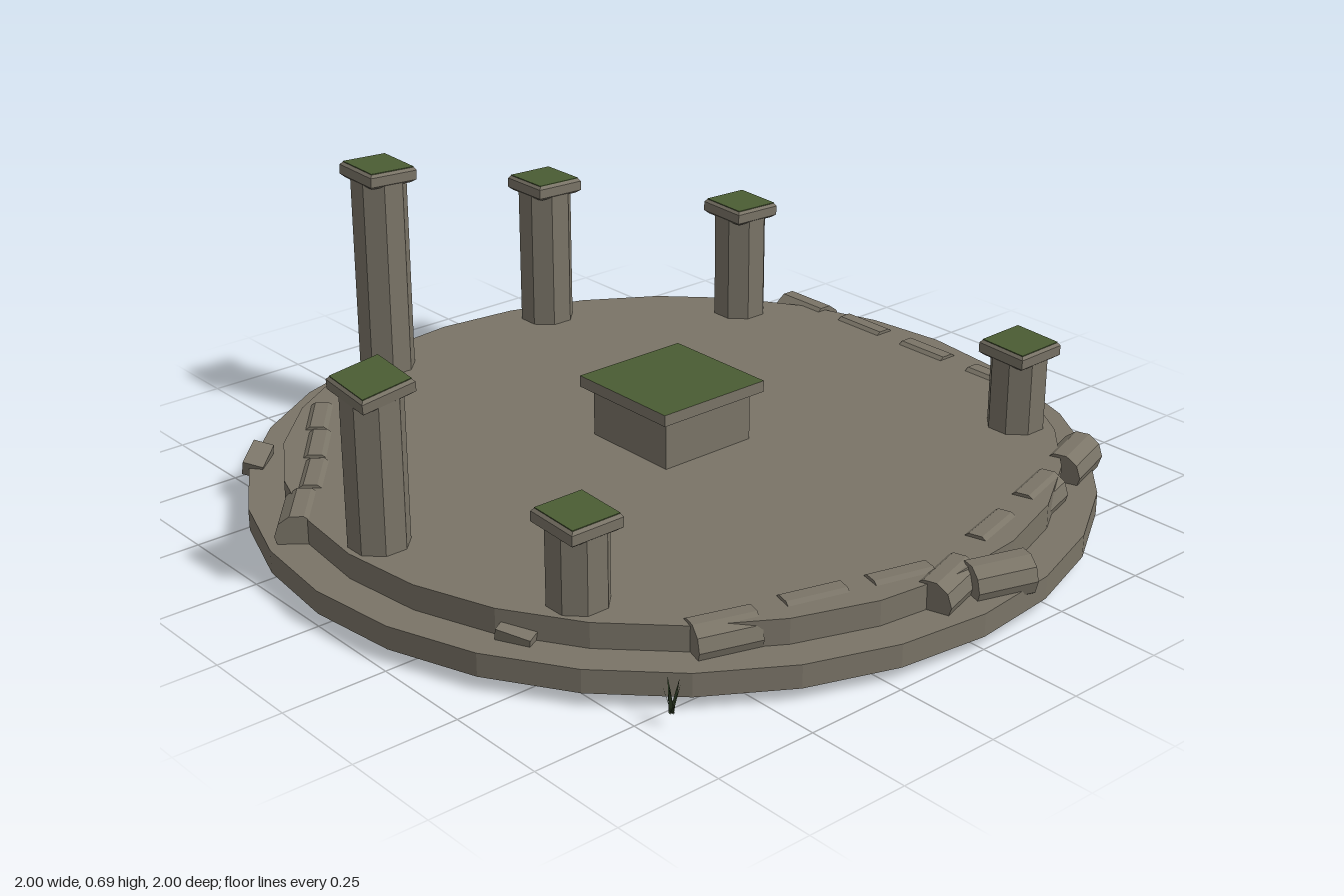
import * as THREE from 'three';

const mat = (name, color, opts = {}) => {
  const m = new THREE.MeshStandardMaterial({ color, ...opts });
  m.name = name;
  return m;
};

export function createModel() {
  const root = new THREE.Group();
  root.name = 'ruinedStoneCircle';
  const stone = mat('stone', 0x7a7467, { flatShading: true });
  const moss = mat('moss', 0x4a5c33, { flatShading: true });
  const leaf = mat('leaf', 0x35452a, { side: THREE.DoubleSide });

  const add = (parent, name, geo, material, x = 0, y = 0, z = 0) => {
    const m = new THREE.Mesh(geo, material);
    m.name = name;
    m.position.set(x, y, z);
    parent.add(m);
    return m;
  };

  // Two stepped discs
  add(root, 'lowerStep', new THREE.CylinderGeometry(1, 1, 0.055, 28), stone, 0, 0.0525, 0);
  add(root, 'upperStep', new THREE.CylinderGeometry(0.915, 0.915, 0.062, 28), stone, 0, 0.109, 0);

  // Central altar with a mossy slab
  const altar = new THREE.Group();
  altar.name = 'altar';
  root.add(altar);
  add(altar, 'altarBlock', new THREE.BoxGeometry(0.26, 0.13, 0.26), stone, 0, 0.2, 0);
  // material order: +x, -x, +y, -y, +z, -z
  const mossTop = [stone, stone, moss, stone, stone, stone];
  add(altar, 'altarSlab', new THREE.BoxGeometry(0.306, 0.028, 0.306), mossTop, 0, 0.276, 0);

  // Standing columns: x, z, top height, cap tilt about z and about x
  const capProfile = [[0, -0.02], [0.058, -0.02], [0.0675, -0.012], [0.0675, 0.012], [0.062, 0.019], [0, 0.019]]
    .map(([r, y]) => new THREE.Vector2(r * Math.SQRT2, y));
  const capGeo = new THREE.LatheGeometry(capProfile, 4).rotateY(Math.PI / 4);
  const capMossGeo = new THREE.BoxGeometry(0.124, 0.004, 0.124);
  [
    [-0.26, -0.8, 0.675, -0.05, 0.03],
    [0.255, -0.8, 0.53, -0.03, 0.0],
    [0.67, -0.495, 0.449, -0.03, 0.03],
    [0.67, 0.485, 0.355, 0.02, 0.04],
    [-0.675, 0.485, 0.348, 0.0, 0.05],
    [-0.835, 0.0, 0.53, 0.13, 0.12],
  ].forEach(([x, z, top, tiltZ, tiltX]) => {
    const column = new THREE.Group();
    column.name = 'column';
    column.position.set(x, 0, z);
    root.add(column);
    const h = top - 0.03 - 0.12;
    const shaft = new THREE.CylinderGeometry(0.07, 0.07, h, 8).rotateY(Math.PI / 8);
    add(column, 'columnShaft', shaft, stone, 0, 0.12 + h / 2, 0);
    const cap = new THREE.Group();
    cap.name = 'columnCap';
    cap.position.y = top - 0.02;
    cap.rotation.set(tiltX, 0, tiltZ);
    column.add(cap);
    add(cap, 'capStone', capGeo, stone);
    add(cap, 'capMoss', capMossGeo, moss, 0, 0.019, 0);
  });

  // Toppled drums half sunk into the rim: x, z, heading from +x toward +z
  const drumGeo = new THREE.CylinderGeometry(0.052, 0.052, 0.145, 10).rotateZ(Math.PI / 2);
  const side = Math.PI / 2;
  [
    [0.845, -0.415, side], [0.845, -0.195, side], [0.845, 0.03, side], [0.845, 0.26, side],
    [-0.865, -0.265, -0.88], [-0.755, -0.38, -0.88], [-0.66, -0.51, -0.9], [-0.57, -0.64, -0.9],
    [-0.5, 0.73, 0.3], [-0.29, 0.78, 0.27], [-0.09, 0.835, 0.25], [0.11, 0.93, 0.3],
    [-0.01, 0.89, -0.3], [0.22, 0.81, -0.27], [0.45, 0.74, -0.3], [0.67, 0.66, -0.33],
  ].forEach(([x, z, heading]) => {
    add(root, 'fallenDrum', drumGeo, stone, x, 0.098, z).rotation.y = -heading;
  });

  // Small rubble lying on and poking through the floor: x, y, z, turn, length
  [
    [-0.75, 0.085, -0.635, -0.7, 0.08], [-0.8, 0.085, 0.44, 1.1, 0.08],
    [0.74, 0.024, 0.05, 0.3, 0.07], [0.08, 0.024, 0.28, 0.2, 0.1],
    [-0.14, 0.024, -0.68, 0.4, 0.08], [-0.63, 0.024, 0.23, 0.5, 0.09],
    [-0.22, 0.024, 0.84, 1.2, 0.09], [-0.51, 0.024, -0.58, 0.9, 0.05],
  ].forEach(([x, y, z, turn, length]) => {
    const r = add(root, 'rubble', new THREE.BoxGeometry(length, 0.04, 0.05), stone, x, y, z);
    r.rotation.set(0.3, -turn, 0.12);
  });

  // Tuft of grass just outside the rim
  const tuft = new THREE.Group();
  tuft.name = 'grassTuft';
  tuft.position.set(-0.695, 0.025, 0.8);
  root.add(tuft);
  const bladeShape = new THREE.Shape([[-0.006, 0], [0.006, 0], [0.003, 0.045], [0, 0.075], [-0.003, 0.045]]
    .map(([x, y]) => new THREE.Vector2(x, y)));
  const bladeGeo = new THREE.ShapeGeometry(bladeShape);
  for (let i = 0; i < 5; i++) {
    const blade = add(tuft, 'grassBlade', bladeGeo, leaf);
    blade.rotation.order = 'YXZ';
    blade.rotation.set(0.28, i * Math.PI * 0.4 + 0.3, 0);
  }
  return root;
}
